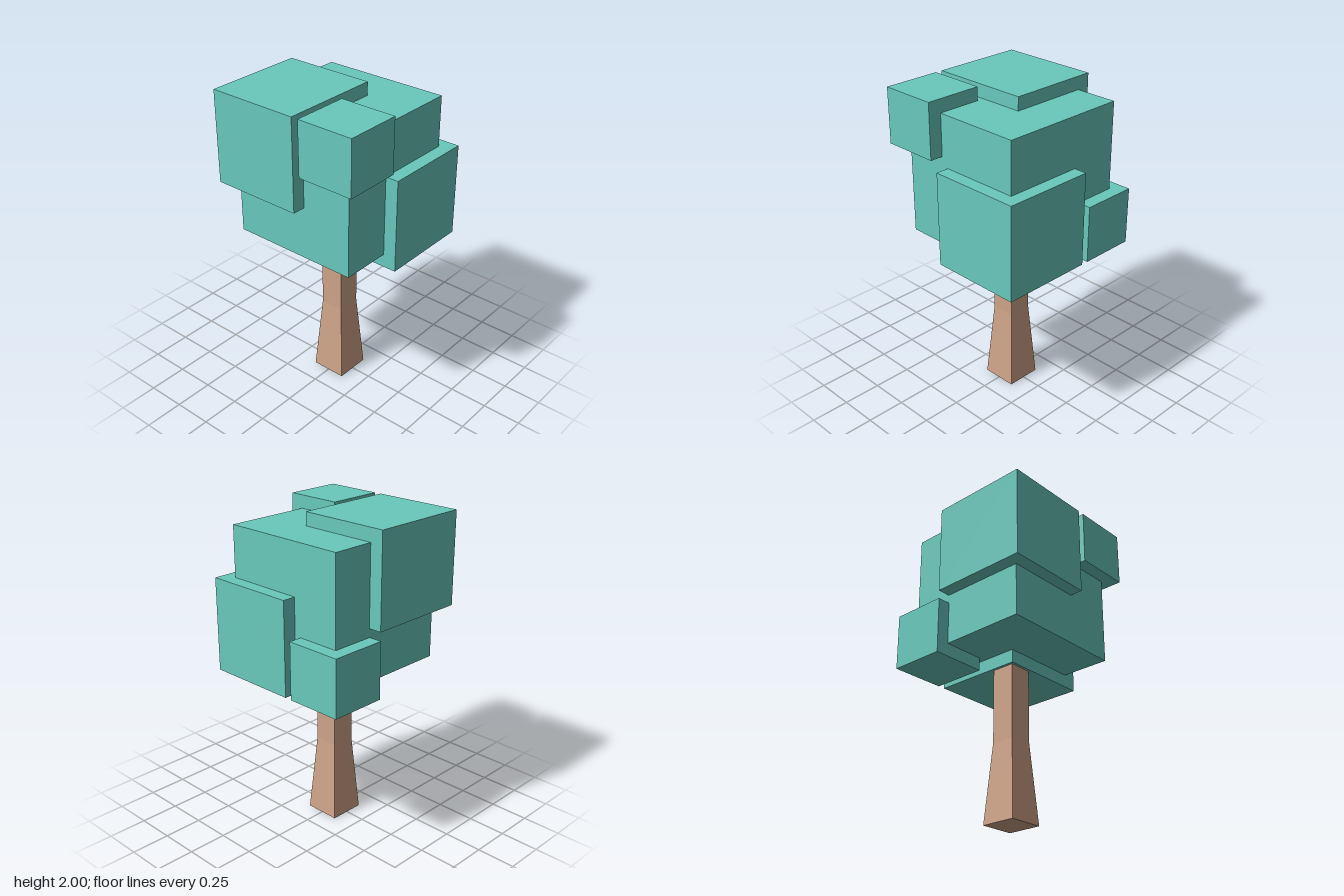
import * as THREE from 'three';

// Axis-aligned block given by its lower and upper corners
function block(name, min, max, material) {
  const size = max.map((v, i) => v - min[i]);
  const mesh = new THREE.Mesh(new THREE.BoxGeometry(...size), material);
  mesh.position.set(...min.map((v, i) => (v + max[i]) / 2));
  mesh.name = name;
  return mesh;
}

// Square tapered post, sides facing the axes
function post(name, topHalf, bottomHalf, y0, y1, material) {
  const geometry = new THREE.CylinderGeometry(
    topHalf * Math.SQRT2, bottomHalf * Math.SQRT2, y1 - y0, 4);
  geometry.rotateY(Math.PI / 4);
  const flat = geometry.toNonIndexed();
  flat.computeVertexNormals();
  const mesh = new THREE.Mesh(flat, material);
  mesh.position.y = (y0 + y1) / 2;
  mesh.name = name;
  return mesh;
}

export function createModel() {
  const leaf = new THREE.MeshStandardMaterial({ color: 0x69c9bd });
  leaf.name = 'teal leaves';
  const bark = new THREE.MeshStandardMaterial({ color: 0xcfa489 });
  bark.name = 'tan bark';

  const tree = new THREE.Group();
  tree.name = 'tree';

  // Trunk: flared base and straight upper half
  const trunk = new THREE.Group();
  trunk.name = 'trunk';
  trunk.add(
    post('trunkBase', 0.077, 0.115, 0, 0.51, bark),
    post('trunkUpper', 0.077, 0.077, 0.51, 1.1, bark));

  // Crown: a large core with a block on four of its corners
  const crown = new THREE.Group();
  crown.name = 'crown';
  crown.add(
    block('crownCore', [-0.42, 1.075, -0.42], [0.42, 1.915, 0.42], leaf),
    block('upperBackBlock', [-0.505, 1.41, -0.505], [0.145, 2, 0.09], leaf),
    block('lowerFrontBlock', [-0.095, 0.99, -0.095], [0.505, 1.59, 0.505], leaf),
    block('upperFrontBlock', [-0.505, 1.65, 0.135], [-0.14, 2, 0.505], leaf),
    block('lowerBackBlock', [0.14, 0.99, -0.505], [0.505, 1.355, -0.14], leaf));

  tree.add(trunk, crown);
  return tree;
}
